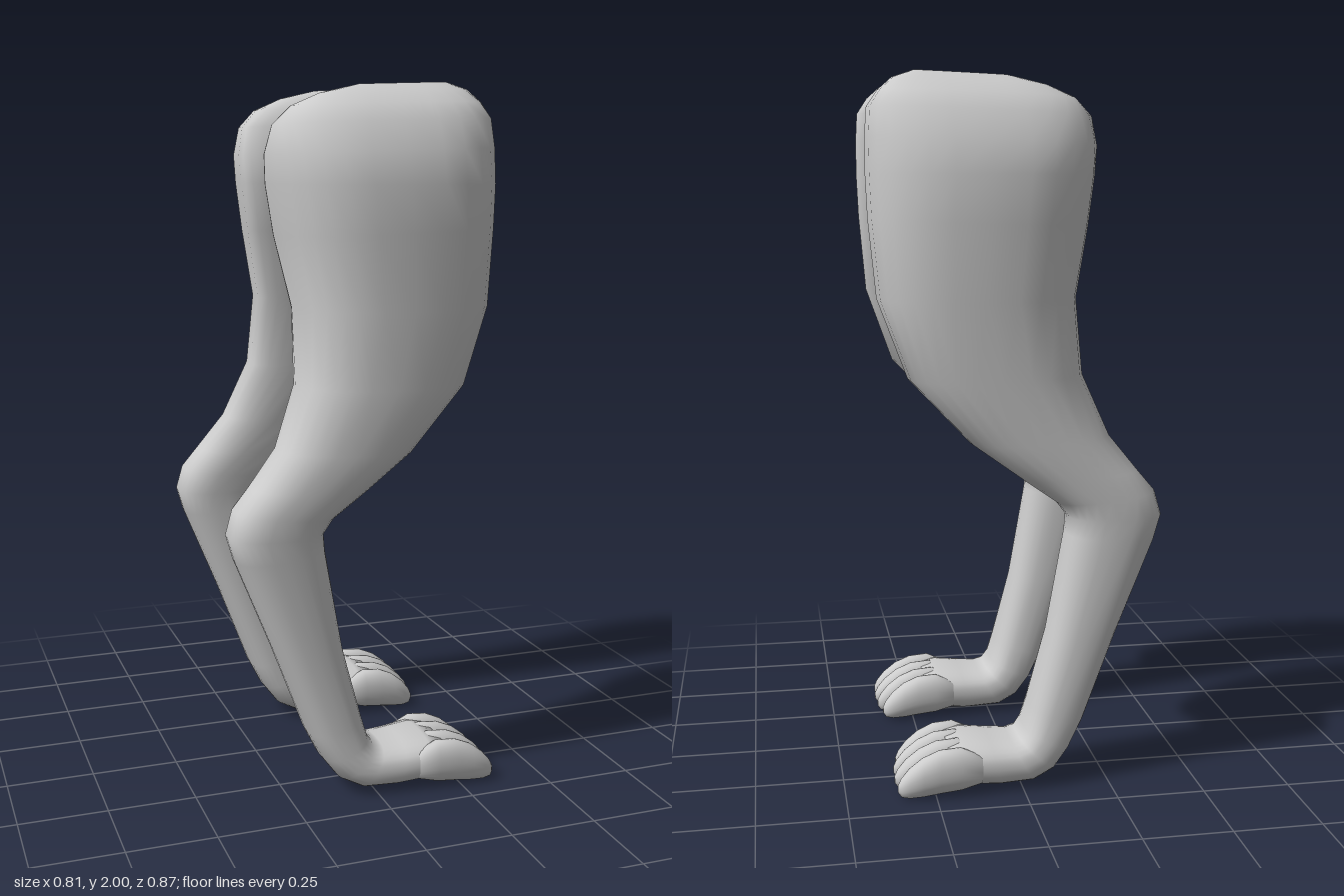
import * as THREE from 'three';

const material = new THREE.MeshStandardMaterial({ color: 0xcccccc });
const SEGMENTS = 28;

// Ring: [backX, backY, frontX, frontY, midBack, midFront, innerBack, innerFront, outer]
// mid = z of the back and front ridges, inner / outer = z of the two flanks.
const THIGH = [
  [0.01, 1.99, 0.27, 2.0, 0.19, 0.19, 0.18, 0.18, 0.20],
  [-0.10, 1.965, 0.33, 1.98, 0.18, 0.19, 0.14, 0.16, 0.25],
  [-0.18, 1.93, 0.37, 1.945, 0.17, 0.18, 0.10, 0.14, 0.31],
  [-0.228, 1.88, 0.40, 1.90, 0.15, 0.175, 0.08, 0.125, 0.35],
  [-0.245, 1.80, 0.405, 1.82, 0.13, 0.17, 0.05, 0.115, 0.39],
  [-0.24, 1.72, 0.405, 1.72, 0.12, 0.17, 0.042, 0.11, 0.41],
  [-0.22, 1.58, 0.40, 1.60, 0.13, 0.17, 0.055, 0.11, 0.41],
  [-0.18, 1.38, 0.38, 1.38, 0.17, 0.19, 0.09, 0.13, 0.405],
  [-0.19, 1.17, 0.30, 1.16, 0.23, 0.23, 0.13, 0.155, 0.40],
  [-0.26, 1.00, 0.13, 0.98, 0.28, 0.27, 0.17, 0.18, 0.40],
];

// Lower leg and foot: [backX, backY, frontX, frontY, inner, outer]
const SHANK = [
  [-0.34, 0.90, -0.01, 0.88, 0.19, 0.40],
  [-0.39, 0.84, -0.11, 0.81, 0.197, 0.40],
  [-0.41, 0.77, -0.14, 0.77, 0.20, 0.40],
  [-0.39, 0.70, -0.136, 0.72, 0.203, 0.397],
  [-0.28, 0.43, -0.085, 0.43, 0.20, 0.395],
  [-0.185, 0.18, -0.03, 0.22, 0.19, 0.402],
  [-0.145, 0.10, -0.012, 0.16, 0.185, 0.405],
  [-0.10, 0.04, 0.005, 0.135, 0.185, 0.41],
  [-0.04, 0.008, 0.03, 0.128, 0.182, 0.413],
  [0.06, 0.004, 0.09, 0.132, 0.175, 0.42],
  [0.15, 0.012, 0.16, 0.138, 0.165, 0.428],
  [0.21, 0.012, 0.21, 0.125, 0.165, 0.425],
].map(([a, b, c, d, zi, zo]) => {
  const mid = (zi + zo) / 2;
  return [a, b, c, d, mid, mid, zi, zi, zo];
});

// Toes: [z centre, half width, tip x, tip z]
const TOES = [
  [0.40, 0.037, 0.357, 0.398],
  [0.331, 0.039, 0.36, 0.332],
  [0.262, 0.036, 0.357, 0.265],
  [0.194, 0.038, 0.345, 0.2],
];

// Skins a stack of superellipse rings and closes both ends
function loft(rings, side, power = 2.6) {
  const pos = [], index = [];
  const tri = (a, b, c) => (side > 0 ? index.push(a, b, c) : index.push(a, c, b));
  const soften = (v) => Math.sign(v) * Math.abs(v) ** (2 / power);
  const lerp = THREE.MathUtils.lerp;
  for (const [bx, by, fx, fy, mb, mf, ib, inf, out] of rings) {
    for (let j = 0; j < SEGMENTS; j++) {
      const a = (j / SEGMENTS) * Math.PI * 2;
      const t = (soften(Math.cos(a)) + 1) / 2;
      const v = soften(Math.sin(a));
      const mid = lerp(mb, mf, t);
      const z = mid + v * (v < 0 ? mid - lerp(ib, inf, t) : out - mid);
      pos.push(lerp(bx, fx, t), lerp(by, fy, t), z * side);
    }
  }
  const at = (i, j) => i * SEGMENTS + (j % SEGMENTS);
  const last = rings.length - 1;
  const centre = ([bx, by, fx, fy, mb, mf]) => {
    pos.push((bx + fx) / 2, (by + fy) / 2, ((mb + mf) / 2) * side);
    return pos.length / 3 - 1;
  };
  const start = centre(rings[0]), end = centre(rings[last]);
  for (let j = 0; j < SEGMENTS; j++) {
    for (let i = 0; i < last; i++) {
      tri(at(i, j), at(i, j + 1), at(i + 1, j));
      tri(at(i, j + 1), at(i + 1, j + 1), at(i + 1, j));
    }
    tri(start, at(0, j + 1), at(0, j));
    tri(end, at(last, j), at(last, j + 1));
  }
  const geometry = new THREE.BufferGeometry();
  geometry.setAttribute('position', new THREE.Float32BufferAttribute(pos, 3));
  geometry.setIndex(index);
  geometry.computeVertexNormals();
  return geometry;
}

// Rounded toe that droops to a blunt tip
function toeRings([z, half, tipX, tipZ]) {
  // [fraction of length, bottom, top, width factor]
  const steps = [
    [0, 0.03, 0.11, 0.7], [0.25, 0.014, 0.137, 0.95], [0.5, 0.008, 0.132, 1],
    [0.7, 0.002, 0.112, 1], [0.86, 0, 0.083, 0.85], [0.96, 0.004, 0.055, 0.55],
    [1, 0.018, 0.036, 0.2],
  ];
  return steps.map(([f, bottom, top, w]) => {
    const x = THREE.MathUtils.lerp(0.12, tipX, f);
    const c = THREE.MathUtils.lerp(z, tipZ, f);
    return [x, bottom, x, top, c, c, c - half * w, c - half * w, c + half * w];
  });
}

function makeLeg(side) {
  const leg = new THREE.Group();
  leg.name = side > 0 ? 'nearLeg' : 'farLeg';
  const add = (name, geometry) => {
    const mesh = new THREE.Mesh(geometry, material);
    mesh.name = name;
    leg.add(mesh);
  };
  // Thigh, shank and foot are one continuous skin
  add('thighShankAndFoot', loft([...THIGH, ...SHANK], side));
  TOES.forEach((toe, i) => add(`toe${i + 1}`, loft(toeRings(toe), side, 2.2)));
  return leg;
}

export function createModel() {
  const model = new THREE.Group();
  model.name = 'hindLegs';
  for (const side of [1, -1]) model.add(makeLeg(side));
  return model;
}
